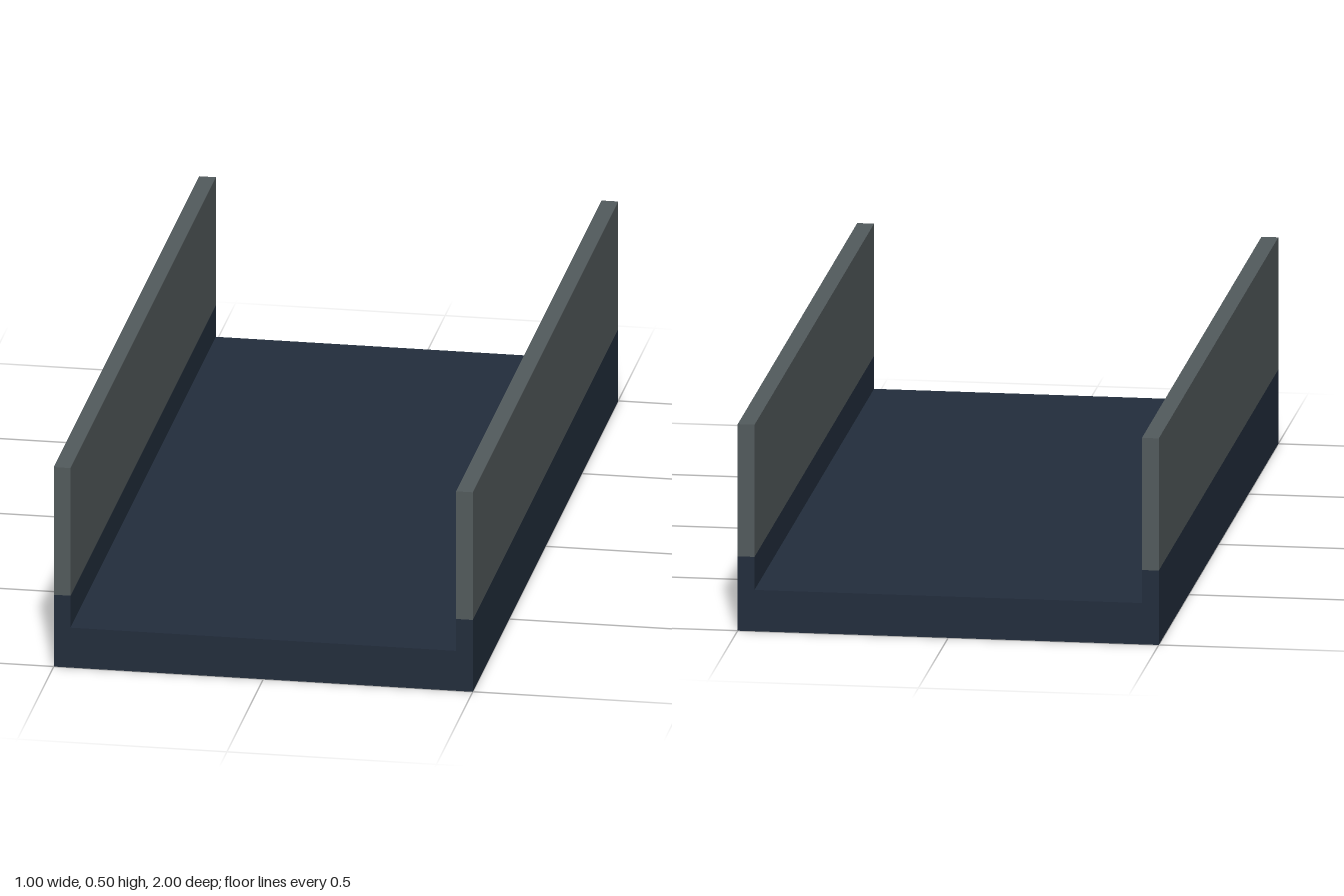
import * as THREE from 'three';

const WIDTH = 1, LENGTH = 2, HEIGHT = 0.5;
const WALL = 0.04, FLOOR = 0.1, BAND = 0.18;

export function createModel() {
  const model = new THREE.Group();
  model.name = 'channel';

  const navy = new THREE.MeshStandardMaterial({ color: 0x222d3c });
  navy.name = 'navy';
  const grey = new THREE.MeshStandardMaterial({ color: 0x525a5c });
  grey.name = 'grey';

  // U-shaped base: floor slab with the dark lower part of both walls
  const half = WIDTH / 2, inner = half - WALL;
  const profile = new THREE.Shape([
    [-half, 0], [half, 0], [half, BAND], [inner, BAND],
    [inner, FLOOR], [-inner, FLOOR], [-inner, BAND], [-half, BAND],
  ].map(([x, y]) => new THREE.Vector2(x, y)));
  const baseGeometry = new THREE.ExtrudeGeometry(profile, { depth: LENGTH, bevelEnabled: false });
  baseGeometry.translate(0, 0, -LENGTH / 2);
  const base = new THREE.Mesh(baseGeometry, navy);
  base.name = 'base';
  model.add(base);

  // Grey upper part of each side wall
  const wallGeometry = new THREE.BoxGeometry(WALL, HEIGHT - BAND, LENGTH);
  for (const side of [-1, 1]) {
    const wall = new THREE.Mesh(wallGeometry, grey);
    wall.name = side > 0 ? 'leftWall' : 'rightWall';
    wall.position.set(side * (half - WALL / 2), (HEIGHT + BAND) / 2, 0);
    model.add(wall);
  }

  return model;
}
